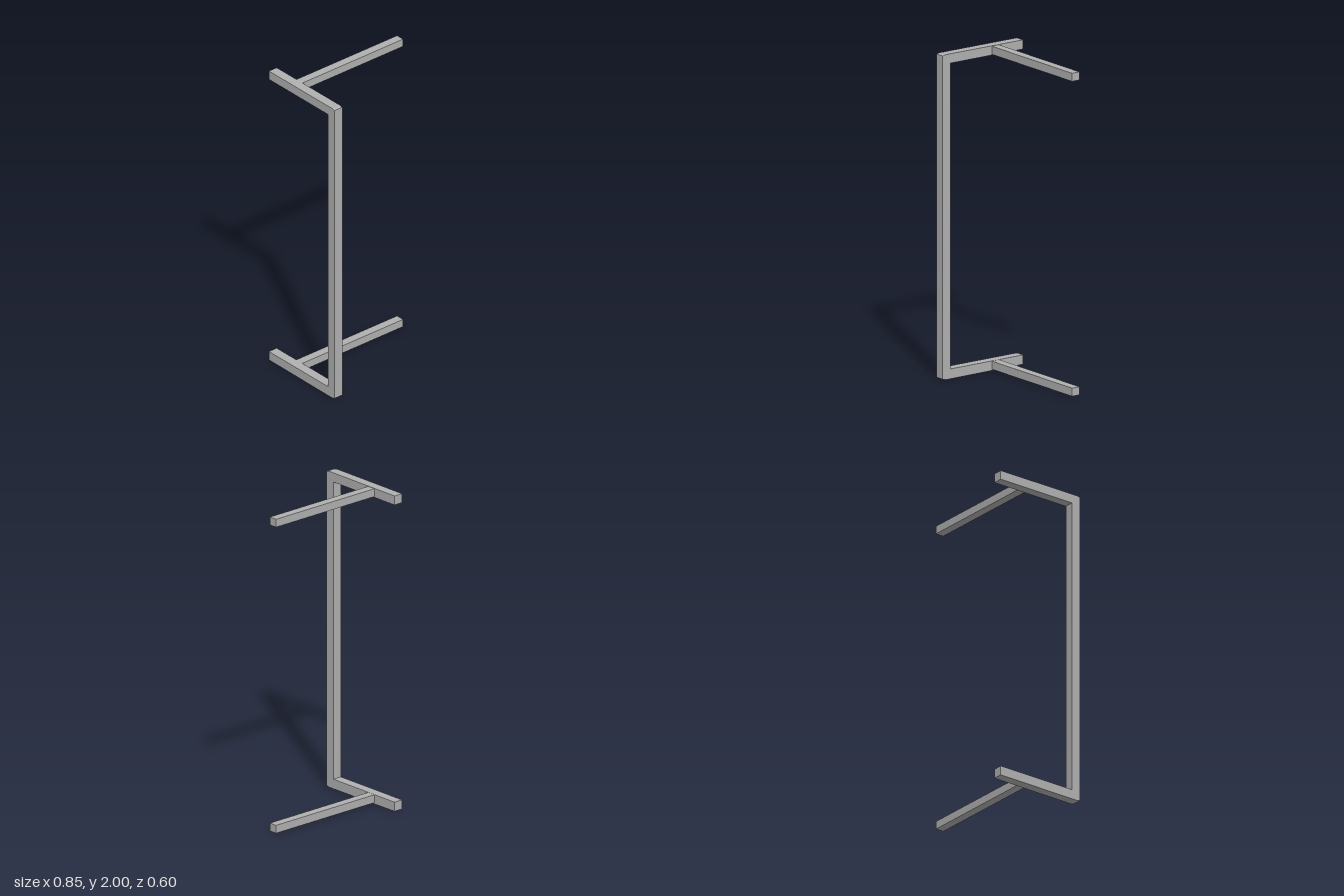
import * as THREE from 'three';

export function createModel() {
  const group = new THREE.Group();
  const steel = new THREE.MeshStandardMaterial({ color: 0xb0b0b0 });
  steel.name = 'plain grey';

  // C-shaped side frame: profile in (z, y), extruded along x
  const profile = new THREE.Shape([
    [-0.3, 0.003], [0.277, 0], [0.3, 0.006], [0.3, 1.995], [0.277, 2], [-0.3, 1.999],
    [-0.3, 1.942], [0.24, 1.942], [0.24, 0.061], [-0.3, 0.061],
  ].map(([z, y]) => new THREE.Vector2(z, y)));
  const frameGeometry = new THREE.ExtrudeGeometry(profile, { depth: 0.061, bevelEnabled: false });
  frameGeometry.rotateY(-Math.PI / 2).translate(-0.365, 0, 0);
  const frame = new THREE.Mesh(frameGeometry, steel);
  frame.name = 'sideFrame';
  group.add(frame);

  // Two horizontal bars reaching out from the frame arms
  for (const [name, y] of [['lowerBar', 0.035], ['upperBar', 1.972]]) {
    const bar = new THREE.Mesh(new THREE.BoxGeometry(0.79, 0.05, 0.055), steel);
    bar.position.set(0.03, y, -0.094);
    bar.name = name;
    group.add(bar);
  }
  return group;
}
